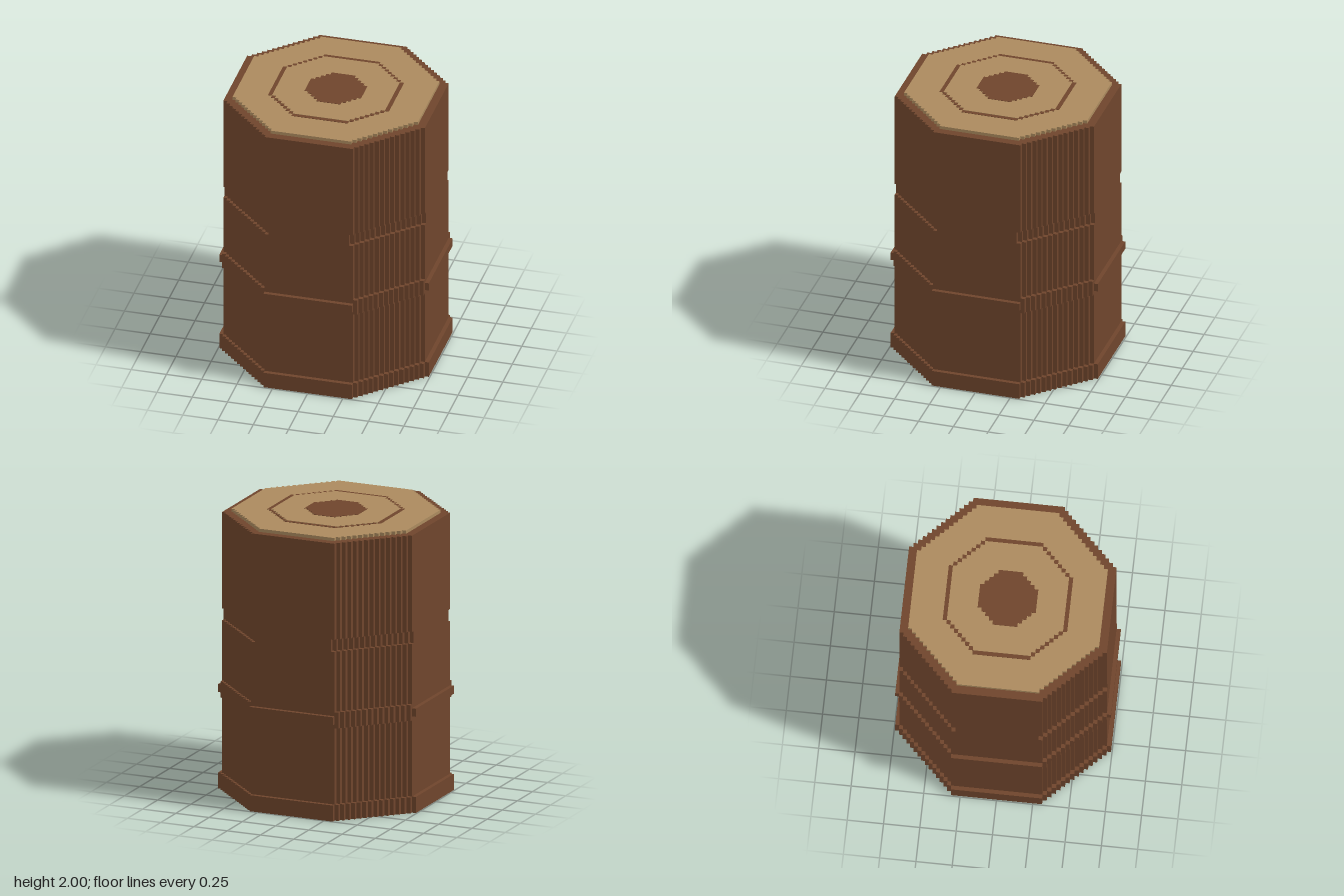
import * as THREE from 'three';

const U = 2 / 70; // one block of the stepped grid

const bark = new THREE.MeshStandardMaterial({ color: 0x6f452c });
bark.name = 'bark brown';
const wood = new THREE.MeshStandardMaterial({ color: 0xab8a5e });
wood.name = 'cut wood tan';

// Stepped octagon: half = half width, flat = half length of the straight sides (in blocks)
function steppedOctagon(half, flat) {
  const quarter = [];
  for (let k = 0; k <= half - flat; k++) {
    quarter.push([flat + k, half - k]);
    if (k < half - flat) quarter.push([flat + k, half - k - 1]);
  }
  const points = [];
  for (let q = 0; q < 4; q++) {
    for (const [a, b] of quarter) {
      const [x, y] = [[a, b], [b, -a], [-a, -b], [-b, a]][q];
      points.push(new THREE.Vector2(x * U, y * U));
    }
  }
  return new THREE.Shape(points);
}

// Upright slab between two heights given in blocks
function slab(name, half, flat, y0, y1, material) {
  const geometry = new THREE.ExtrudeGeometry(steppedOctagon(half, flat), {
    depth: (y1 - y0) * U, bevelEnabled: false,
  });
  geometry.rotateX(-Math.PI / 2);
  const mesh = new THREE.Mesh(geometry, material);
  mesh.position.y = y0 * U;
  mesh.name = name;
  return mesh;
}

export function createModel() {
  const model = new THREE.Group();
  model.name = 'log';

  // Trunk, from the ground up
  model.add(
    slab('baseRing', 26, 11, 0, 4, bark),
    slab('lowerTrunk', 25, 11, 4, 23, bark),
    slab('cornerBand', 25, 12, 23, 27, bark), // raised on the diagonals
    slab('middleTrunk', 25, 11, 27, 42, bark),
    slab('cornerGroove', 25, 10, 42, 45, bark), // sunk on the diagonals
    slab('upperTrunk', 25, 11, 45, 69, bark),
  );

  // Raised strip on each straight side
  for (let i = 0; i < 4; i++) {
    const geometry = new THREE.BoxGeometry(22 * U, 2 * U, U);
    geometry.translate(0, 25 * U, 25.5 * U);
    const strip = new THREE.Mesh(geometry, bark);
    strip.rotation.y = i * Math.PI / 2;
    strip.name = 'sideStrip';
    model.add(strip);
  }

  // Cut end with growth rings as thin stacked plates
  const t = 0.07;
  model.add(
    slab('cutEnd', 23, 10, 69, 70 - 3 * t, wood),
    slab('growthRing', 15, 7, 70 - 3 * t, 70 - 2 * t, bark),
    slab('innerWood', 14, 7, 70 - 3 * t, 70 - t, wood),
    slab('heartwood', 7, 3, 70 - t, 70, bark),
  );
  return model;
}
